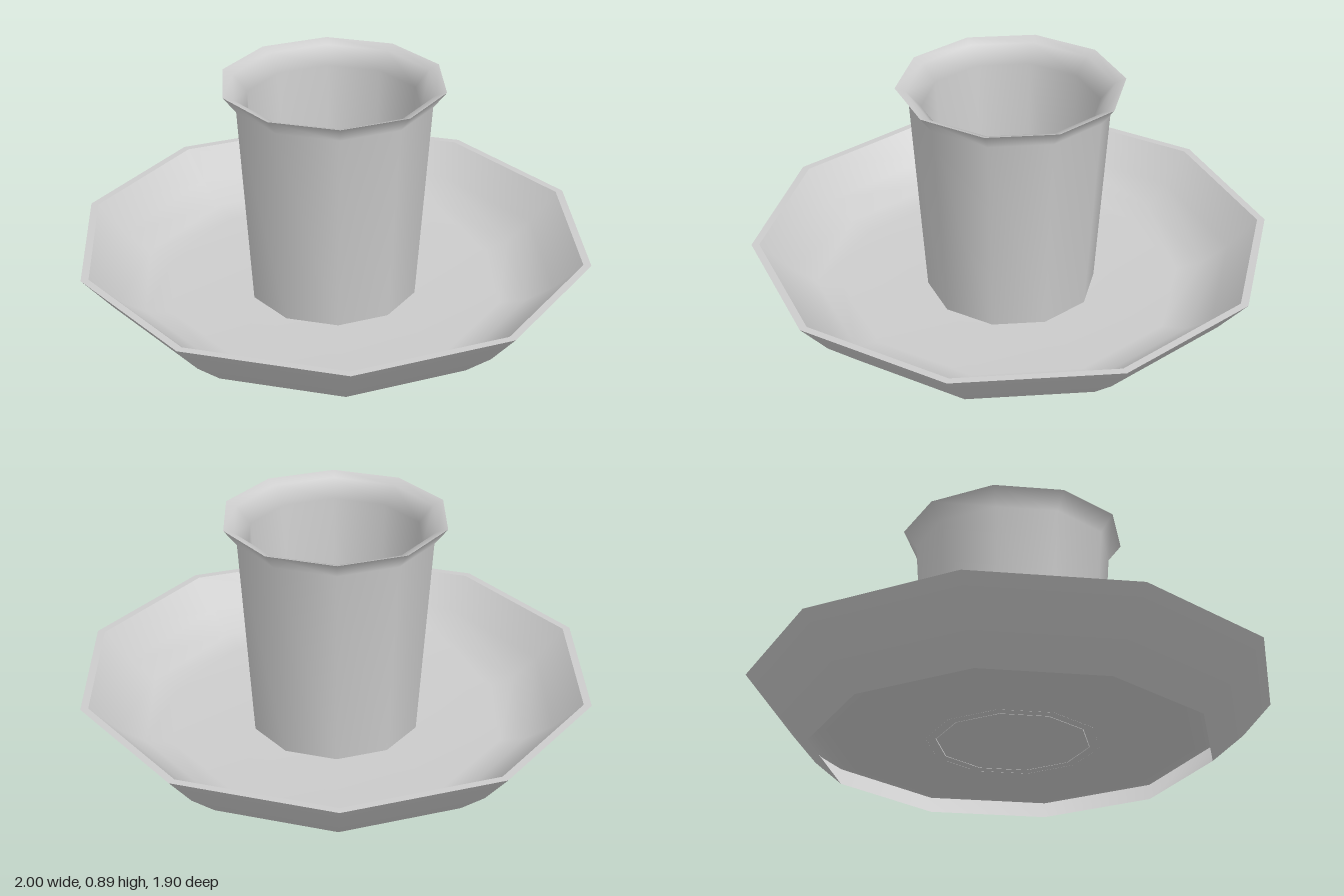
import * as THREE from 'three';

const SIDES = 10;
const material = new THREE.MeshStandardMaterial({ color: 0xcccccc, side: THREE.DoubleSide });

// Ten-sided smooth lathe with a corner on the x axis; profile is [radius, height]
function turned(name, profile) {
  const points = profile.map(([r, y]) => new THREE.Vector2(r, y));
  const mesh = new THREE.Mesh(new THREE.LatheGeometry(points, SIDES, Math.PI / 2), material);
  mesh.name = name;
  return mesh;
}

export function createModel() {
  const model = new THREE.Group();
  model.name = 'candleHolder';

  // Saucer: outer skirt, open underneath, with a thin rim and a dished bowl
  const saucer = new THREE.Group();
  saucer.name = 'saucer';
  saucer.add(
    turned('saucerSkirt', [[0.76, 0], [0.885, 0.11], [1, 0.245]]),
    turned('saucerRim', [[1, 0.245], [0.97, 0.245]]),
    turned('saucerBowl', [[0.97, 0.245], [0.86, 0.13], [0.76, 0.06], [0.66, 0.035], [0.29, 0.03]]),
  );

  // Cup: tapered wall with a flared lip and a flat floor
  const cup = new THREE.Group();
  cup.name = 'cup';
  cup.add(
    turned('cupWall', [[0.327, 0.03], [0.38, 0.825], [0.43, 0.89]]),
    turned('cupLining', [[0.43, 0.89], [0.39, 0.875], [0.335, 0.81], [0.287, 0.03]]),
    turned('cupFloor', [[0.287, 0.03], [0, 0.03]]),
  );

  model.add(saucer, cup);
  return model;
}
